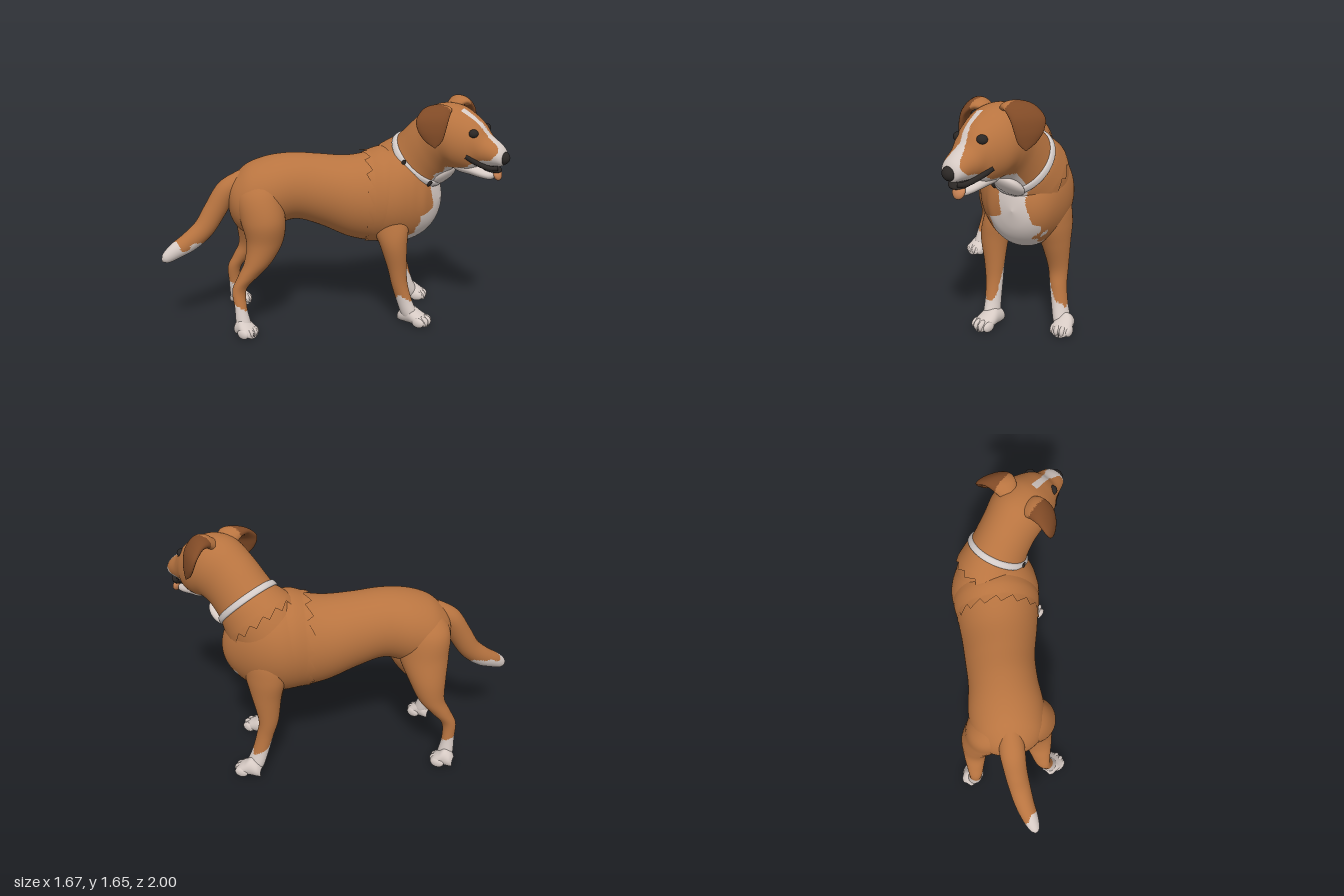
import * as THREE from 'three';

const material = (name, color, side = THREE.FrontSide) => {
  const m = new THREE.MeshStandardMaterial({ color, side });
  m.name = name;
  return m;
};

// Catmull-Rom blend of whole rows of numbers
function smoothRows(rows, n) {
  const out = [], last = rows.length - 1;
  for (let i = 0; i < last; i++) {
    const a = rows[Math.max(i - 1, 0)], b = rows[i], c = rows[i + 1], d = rows[Math.min(i + 2, last)];
    for (let k = 0; k < n; k++) {
      const t = k / n;
      out.push(b.map((v, j) => v + 0.5 * t * (c[j] - a[j] + t * (2 * a[j] - 5 * v + 4 * c[j] - d[j] + t * (3 * (v - c[j]) + d[j] - a[j])))));
    }
  }
  out.push(rows[last]);
  return out;
}

// Skin over elliptical sections: row = [x, y, z, half width, half depth, pitch, yaw] (degrees).
// paint(point) picks a material index for each face; jag makes the first edge ragged like fur.
function loft(name, rows, mats, { paint = () => 0, steps = 7, sides = 40, jag = 0 } = {}) {
  const rings = smoothRows(rows, steps), pos = [], faces = mats.map(() => []);
  rings.forEach(([x, y, z, a, b, pitch, yaw], i) => {
    const p = THREE.MathUtils.degToRad(pitch), w = THREE.MathUtils.degToRad(yaw);
    const f = new THREE.Vector3(Math.sin(w), 0, Math.cos(w)), up = new THREE.Vector3(0, 1, 0);
    const side = new THREE.Vector3(Math.cos(w), 0, -Math.sin(w));
    const v = up.clone().multiplyScalar(Math.cos(p)).addScaledVector(f, -Math.sin(p));
    const n = f.clone().multiplyScalar(Math.cos(p)).addScaledVector(up, Math.sin(p));
    for (let j = 0; j < sides; j++) {
      const t = j / sides * Math.PI * 2;
      const q = new THREE.Vector3(x, y, z)
        .addScaledVector(side, Math.max(a, 0.001) * Math.cos(t))
        .addScaledVector(v, Math.max(b, 0.001) * Math.sin(t));
      if (i === 0 && jag) q.addScaledVector(n, -jag * ((j * 7) % 4) / 3);
      pos.push(q.x, q.y, q.z);
    }
  });
  const addFace = (...ids) => {
    const c = new THREE.Vector3();
    ids.forEach(k => c.add(new THREE.Vector3().fromArray(pos, k * 3)));
    faces[paint(c.divideScalar(3))].push(...ids);
  };
  for (let i = 0; i < rings.length - 1; i++) {
    for (let j = 0; j < sides; j++) {
      const a = i * sides + j, b = i * sides + (j + 1) % sides;
      addFace(a, b, b + sides);
      addFace(a, b + sides, a + sides);
    }
  }
  const g = new THREE.BufferGeometry();
  g.setAttribute('position', new THREE.Float32BufferAttribute(pos, 3));
  g.setIndex(faces.flat());
  let start = 0;
  faces.forEach((list, k) => { g.addGroup(start, list.length, k); start += list.length; });
  g.computeVertexNormals();
  const mesh = new THREE.Mesh(g, mats);
  mesh.name = name;
  return mesh;
}

function ball(name, mat, [x, y, z], [rx, ry, rz], tilt = 0) {
  const mesh = new THREE.Mesh(new THREE.SphereGeometry(1, 24, 16), mat);
  mesh.name = name;
  mesh.position.set(x, y, z);
  mesh.scale.set(rx, ry, rz);
  mesh.rotation.x = tilt;
  return mesh;
}

export function createModel() {
  const dog = new THREE.Group();
  dog.name = 'dog';
  const tan = material('tanFur', 0xb87440, THREE.DoubleSide);
  const white = material('whiteFur', 0xd6cac4);
  const brown = material('darkEarFur', 0x804a26);
  const black = material('blackSkin', 0x2b2725);
  const pink = material('tongue', 0xcf8757);
  const band = material('collarBand', 0xd3cbc8);
  const fur = [tan, white];
  const wobble = p => 0.012 * Math.sin(45 * p.x + 20 * p.y) + 0.01 * Math.sin(60 * p.z + 31 * p.y);

  // Torso, diagonal from the rump to the chest
  const chestPatch = p => {
    const low = THREE.MathUtils.smoothstep(0.88 - p.y, 0, 0.08), w = wobble(p);
    const left = 0.455 - 0.115 * low - w, right = 0.645 + 0.03 * low - Math.max(0.78 - p.y, 0) * 0.45 + w;
    return p.z > 0.2 + w && p.y < 1.12 && p.x > left && p.x < right ? 1 : 0;
  };
  // x, z, half width, bottom, top, yaw
  const torso = [
    [-0.42, -0.73, 0.001, 0.93, 0.95, 45], [-0.402, -0.712, 0.12, 0.80, 1.05, 45],
    [-0.36, -0.67, 0.20, 0.71, 1.125, 45], [-0.30, -0.61, 0.245, 0.68, 1.19, 45],
    [-0.20, -0.51, 0.255, 0.72, 1.235, 45], [-0.08, -0.39, 0.235, 0.77, 1.25, 45],
    [0.05, -0.26, 0.24, 0.715, 1.235, 45], [0.18, -0.11, 0.265, 0.625, 1.22, 45],
    [0.30, 0.02, 0.29, 0.585, 1.245, 45], [0.40, 0.12, 0.31, 0.57, 1.285, 42],
    [0.47, 0.21, 0.288, 0.58, 1.29, 37], [0.51, 0.30, 0.245, 0.62, 1.25, 28],
    [0.535, 0.38, 0.19, 0.69, 1.14, 20], [0.545, 0.43, 0.11, 0.78, 1.03, 12],
    [0.55, 0.455, 0.001, 0.91, 0.912, 10],
  ].map(([x, z, w, lo, hi, yaw]) => [x, (lo + hi) / 2, z, w, (hi - lo) / 2, 0, yaw]);
  dog.add(loft('torso', torso, fur, { paint: chestPatch, sides: 64, steps: 9 }));

  // Neck, skull and upper muzzle with blaze, white snout and throat
  const facePaint = p => {
    if (p.y < 1.2 && p.z < 0.72) return p.z - p.y + 0.9 > 0.22 && Math.abs(p.x - 0.53) < 0.115 + wobble(p) ? 1 : 0;
    const mid = 0.51 - 0.035 * THREE.MathUtils.smoothstep(p.y, 1.35, 1.6);
    const half = 0.02 + Math.max(1.43 - p.y, 0) * 0.42 + 0.4 * wobble(p);
    return p.z > 0.65 && Math.abs(p.x - mid) < half ? 1 : 0;
  };
  dog.add(loft('neckAndHead', [
    [0.46, 0.98, 0.12, 0.24, 0.26, 50, 10], [0.48, 1.09, 0.21, 0.24, 0.265, 48, 5],
    [0.50, 1.20, 0.30, 0.20, 0.225, 45, 0], [0.505, 1.315, 0.415, 0.19, 0.225, 30, 0],
    [0.51, 1.385, 0.52, 0.2, 0.232, 18, 0], [0.51, 1.385, 0.63, 0.197, 0.228, 8, 0],
    [0.51, 1.36, 0.73, 0.163, 0.195, 3, 0], [0.51, 1.35, 0.79, 0.13, 0.15, 0, 0],
    [0.51, 1.322, 0.845, 0.107, 0.108, 0, 0], [0.51, 1.30, 0.92, 0.085, 0.078, 0, 0],
    [0.51, 1.285, 0.96, 0.06, 0.052, 0, 0], [0.51, 1.28, 0.98, 0.005, 0.005, 0, 0],
  ], fur, { paint: facePaint, sides: 72, steps: 10 }));

  // Ragged fur ruffs behind the collar
  dog.add(loft('neckRuff', [
    [0.48, 1.095, 0.20, 0.25, 0.272, 48, 5], [0.495, 1.165, 0.265, 0.218, 0.242, 46, 0],
    [0.50, 1.21, 0.31, 0.19, 0.21, 45, 0],
  ], fur, { paint: p => p.z > 0.33 ? chestPatch(p) : 0, jag: 0.04, sides: 64 }));
  dog.add(loft('shoulderRuff', [
    [0.28, 0.92, 0.00, 0.286, 0.335, 0, 45], [0.34, 0.93, 0.06, 0.302, 0.35, 0, 44],
    [0.40, 0.93, 0.12, 0.295, 0.345, 0, 42],
  ], [tan], { jag: 0.045, sides: 64 }));

  // Collar with dark fittings, covered by loose throat fur at the front
  dog.add(loft('collar', [
    [0.5, 1.18, 0.28, 0.195, 0.22, 45, 0], [0.5, 1.185, 0.285, 0.217, 0.24, 45, 0],
    [0.5, 1.21, 0.31, 0.209, 0.234, 45, 0], [0.5, 1.215, 0.315, 0.185, 0.21, 45, 0],
  ], [band], { steps: 4, sides: 56 }));
  dog.add(ball('collarBuckle', black, [0.288, 1.2, 0.3], [0.009, 0.03, 0.016], 0.78));
  dog.add(ball('collarRing', black, [0.4, 1.05, 0.452], [0.014, 0.026, 0.014], 0.78));
  dog.add(ball('throatFur', white, [0.54, 1.09, 0.475], [0.108, 0.115, 0.045], 0.85));

  // Lower jaw, mouth, lips, tongue, nose and eyes
  dog.add(loft('lowerJaw', [
    [0.51, 1.25, 0.54, 0.06, 0.03, -10, 0], [0.51, 1.212, 0.64, 0.11, 0.055, -10, 0],
    [0.51, 1.185, 0.74, 0.092, 0.047, -6, 0], [0.51, 1.162, 0.83, 0.072, 0.038, -4, 0],
    [0.51, 1.155, 0.88, 0.05, 0.03, 0, 0], [0.51, 1.158, 0.91, 0.003, 0.003, 0, 0],
  ], [white]));
  dog.add(ball('mouth', black, [0.51, 1.212, 0.855], [0.078, 0.026, 0.09], 0.3));
  for (const k of [1, -1]) {
    const path = [[0.142, 1.292, 0.742], [0.115, 1.26, 0.785], [0.082, 1.228, 0.84], [0.058, 1.212, 0.895], [0.03, 1.212, 0.93]]
      .map(([dx, y, z]) => new THREE.Vector3(0.51 + k * dx, y, z));
    const lip = new THREE.Mesh(new THREE.TubeGeometry(new THREE.CatmullRomCurve3(path), 24, 0.017, 10), black);
    lip.name = k > 0 ? 'leftLip' : 'rightLip';
    dog.add(lip);
  }
  dog.add(ball('tongue', pink, [0.532, 1.165, 0.905], [0.046, 0.05, 0.026], -0.35));
  dog.add(ball('nose', black, [0.51, 1.282, 0.953], [0.05, 0.046, 0.046]));
  dog.add(ball('leftEye', black, [0.595, 1.458, 0.773], [0.036, 0.03, 0.034]));
  dog.add(ball('rightEye', black, [0.41, 1.442, 0.773], [0.036, 0.03, 0.034]));

  // Folded ears, the flaps facing outward and forward
  for (const k of [1, -1]) {
    const rows = [
      [0.07, 1.56, 0.51, 0.06, 0.04, 20], [0.12, 1.598, 0.525, 0.085, 0.038, 5],
      [0.18, 1.597, 0.535, 0.10, 0.034, -25], [0.24, 1.545, 0.54, 0.108, 0.03, -60],
      [0.26, 1.475, 0.55, 0.092, 0.026, -80], [0.26, 1.41, 0.565, 0.058, 0.018, -95],
      [0.262, 1.365, 0.58, 0.003, 0.003, -95],
    ].map(([dx, y, z, a, b, pitch]) => [0.5 + k * dx, y + k * 0.015, z, a, b, pitch, 60 * k]);
    dog.add(loft(k > 0 ? 'leftEar' : 'rightEar', rows, [tan, brown],
      { paint: p => Math.abs(p.x - 0.5) < 0.14 ? 0 : 1 }));
  }

  // Tail with a white tip and underside
  dog.add(loft('tail', [
    [-0.33, 1.07, -0.63, 0.08, 0.08, -30], [-0.42, 1.0, -0.72, 0.085, 0.08, -50],
    [-0.49, 0.86, -0.78, 0.078, 0.08, -62], [-0.56, 0.73, -0.83, 0.074, 0.075, -50],
    [-0.65, 0.64, -0.89, 0.067, 0.07, -35], [-0.74, 0.585, -0.94, 0.056, 0.058, -32],
    [-0.805, 0.54, -0.975, 0.035, 0.038, -32], [-0.83, 0.52, -0.99, 0.003, 0.003, -32],
  ].map(r => [...r, -131]), fur, {
    paint: p => p.x < -0.74 + wobble(p) || (p.x < -0.54 && p.y < 0.655 + (p.x + 0.55) * 0.27 + wobble(p)) ? 1 : 0,
  }));

  // Legs: x, y, z, half width, half depth from hip or shoulder to ankle
  const sock = p => p.y < 0.2 + wobble(p) * 1.5;
  const legs = {
    frontLeftLeg: { rows: [
      [0.55, 1.0, 0.11, 0.05, 0.08], [0.575, 0.9, 0.1, 0.115, 0.15], [0.595, 0.75, 0.085, 0.115, 0.15],
      [0.61, 0.6, 0.07, 0.094, 0.107], [0.62, 0.42, 0.05, 0.07, 0.068], [0.64, 0.3, 0.07, 0.058, 0.06],
      [0.67, 0.18, 0.09, 0.054, 0.06], [0.705, 0.08, 0.11, 0.055, 0.065], [0.715, 0.03, 0.12, 0.04, 0.05]],
      paw: [0.745, 0.14, 0.10, 15], patch: p => p.y < 0.43 && p.x < 0.55 + (0.43 - p.y) * 0.55 },
    frontRightLeg: { rows: [
      [0.33, 1.02, 0.15, 0.04, 0.06], [0.295, 0.89, 0.18, 0.1, 0.13], [0.263, 0.74, 0.212, 0.11, 0.143],
      [0.242, 0.6, 0.26, 0.095, 0.10], [0.258, 0.42, 0.285, 0.07, 0.068], [0.27, 0.3, 0.3, 0.059, 0.06],
      [0.287, 0.18, 0.33, 0.052, 0.06], [0.303, 0.08, 0.365, 0.052, 0.065], [0.31, 0.03, 0.38, 0.04, 0.05]],
      paw: [0.315, 0.405, 0.13, 0], patch: p => p.y < 0.44 && p.x > 0.265 && p.z < 0.26 + (0.43 - p.y) * 0.4 },
    hindLeftLeg: { rows: [
      [-0.24, 1.14, -0.57, 0.09, 0.13], [-0.205, 1.0, -0.635, 0.158, 0.195], [-0.175, 0.82, -0.67, 0.163, 0.178],
      [-0.135, 0.66, -0.735, 0.13, 0.128], [-0.125, 0.52, -0.785, 0.092, 0.088], [-0.16, 0.42, -0.84, 0.07, 0.068],
      [-0.20, 0.32, -0.892, 0.05, 0.05], [-0.193, 0.2, -0.90, 0.046, 0.043], [-0.175, 0.08, -0.895, 0.052, 0.055],
      [-0.165, 0.03, -0.89, 0.04, 0.045]],
      paw: [-0.143, -0.89, 0.083, 12] },
    hindRightLeg: { rows: [
      [-0.30, 1.14, -0.51, 0.07, 0.1], [-0.352, 1.0, -0.495, 0.14, 0.17], [-0.372, 0.82, -0.437, 0.15, 0.165],
      [-0.37, 0.66, -0.425, 0.135, 0.127], [-0.42, 0.52, -0.445, 0.107, 0.095], [-0.475, 0.42, -0.49, 0.085, 0.07],
      [-0.535, 0.32, -0.53, 0.058, 0.045], [-0.56, 0.2, -0.50, 0.044, 0.043], [-0.568, 0.08, -0.47, 0.052, 0.055],
      [-0.57, 0.03, -0.46, 0.04, 0.045]],
      paw: [-0.575, -0.445, 0.087, 0] },
  };
  for (const [name, { rows, paw, patch }] of Object.entries(legs)) {
    const leg = new THREE.Group();
    leg.name = name;
    leg.add(loft(name + 'Limb', rows.map(r => [...r, -90, 0]), fur,
      { paint: p => sock(p) || (patch && patch(p)) ? 1 : 0 }));
    // Paw sloping down to four toes
    const [x, z, len, yaw] = paw, foot = new THREE.Group();
    foot.name = name + 'Paw';
    foot.position.set(x, 0, z);
    foot.rotation.y = THREE.MathUtils.degToRad(yaw);
    foot.add(loft('paw', [
      [-1, 0.03, 0.035], [-0.75, 0.05, 0.055], [-0.25, 0.06, 0.068], [0.2, 0.068, 0.054],
      [0.6, 0.066, 0.04], [0.85, 0.045, 0.028], [0.9, 0.002, 0.02],
    ].map(([t, a, h]) => [0, h, t * len, a, h - 0.001, 0, 0]), [white]));
    [-0.054, -0.019, 0.019, 0.054].forEach((tx, i) => {
      const inner = i === 1 || i === 2;
      foot.add(ball('toe', white, [tx, inner ? 0.04 : 0.036, len - (inner ? 0.048 : 0.066)],
        [0.023, inner ? 0.04 : 0.036, 0.048]));
    });
    leg.add(foot);
    dog.add(leg);
  }
  return dog;
}
